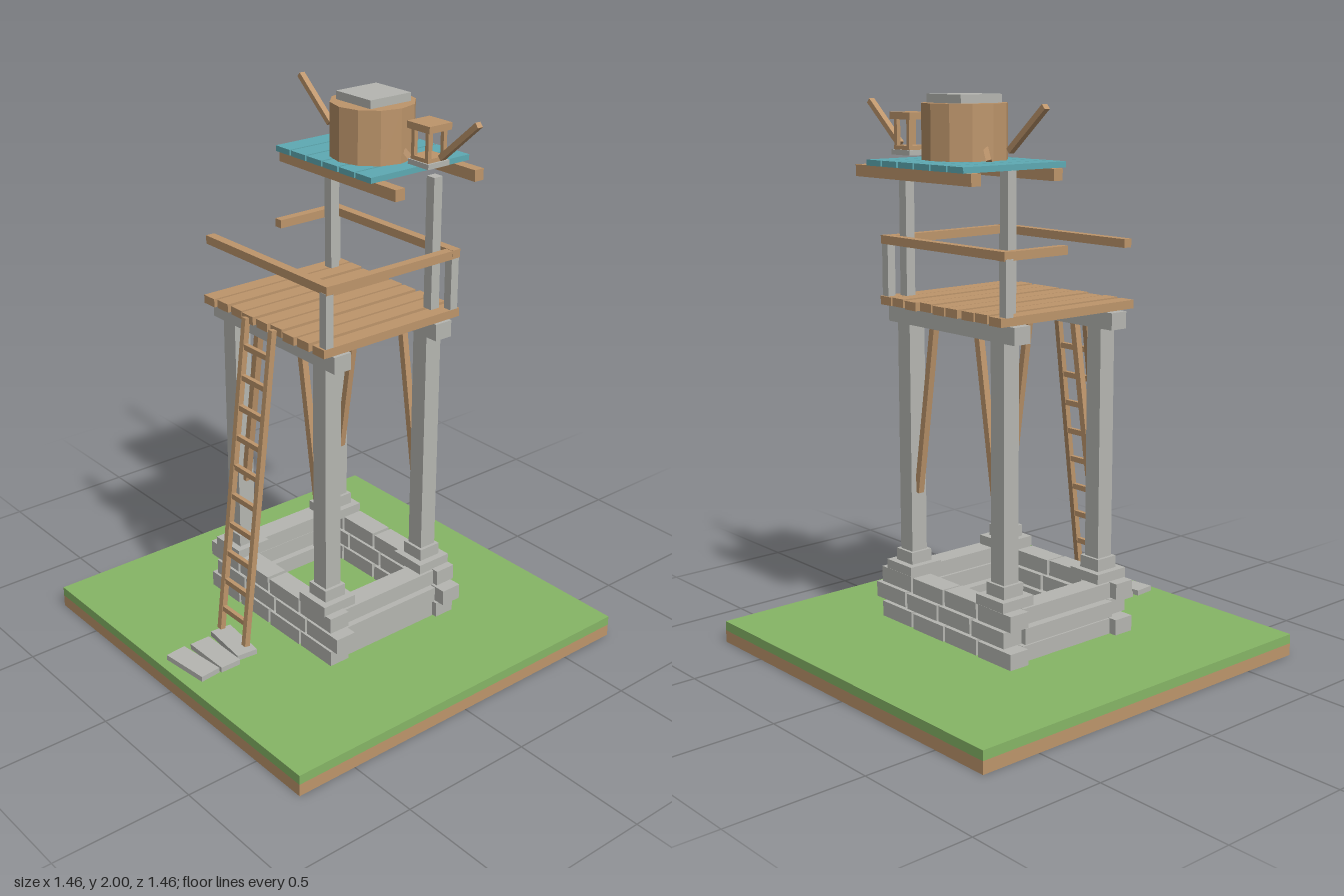
import * as THREE from 'three';

export function createModel() {
  const model = new THREE.Group();
  const mat = (name, color) => {
    const m = new THREE.MeshStandardMaterial({ color });
    m.name = name;
    return m;
  };
  const wood = mat('wood', 0xbd956b);
  const stone = mat('stone', 0xb5b6b1);
  const grass = mat('grass', 0x86b566);
  const teal = mat('teal', 0x5eaab3);

  // Box from size and centre
  const box = (name, material, w, h, d, x, y, z, ry = 0) => {
    const m = new THREE.Mesh(new THREE.BoxGeometry(w, h, d), material);
    m.name = name;
    m.position.set(x, y, z);
    m.rotation.y = ry;
    model.add(m);
    return m;
  };
  // Square bar running between two points
  const bar = (name, material, a, b, w, d = w) => {
    const p = new THREE.Vector3(...a), q = new THREE.Vector3(...b);
    const m = box(name, material, w, p.distanceTo(q), d, 0, 0, 0);
    m.position.copy(p).add(q).multiplyScalar(0.5);
    m.quaternion.setFromUnitVectors(new THREE.Vector3(0, 1, 0), q.sub(p).normalize());
    return m;
  };

  // Ground slab
  box('soil', wood, 1.46, 0.045, 1.46, 0, 0.0225, 0);
  box('grass', grass, 1.46, 0.035, 1.46, 0, 0.0625, 0);

  // Stepping stones in front of the ladder
  [[0, 0.455, -0.1], [0.018, 0.55, 0], [0.017, 0.645, 0.1]].forEach(([x, z, r]) =>
    box('steppingStone', stone, 0.19, 0.02, 0.08, x, 0.09, z, r));

  // Stone foundation: three staggered courses around an open middle
  [[0.128, -0.005], [0.195, 0.03], [0.262, -0.005]].forEach(([y, shift], row) => {
    for (const z of [0.25, -0.25]) {
      for (let i = 0; i < 4; i++) {
        box('foundationBlock', stone, 0.168, 0.057, 0.08, (i - 1.5) * 0.18 + shift, y + (i % 2) * 0.002, z);
      }
    }
    for (const s of [-1, 1]) {
      box('foundationSideBlock', stone, 0.08, 0.057, 0.416, s * (0.29 + (row === 1 ? 0.012 : 0)), y, 0);
    }
  });

  // Pillars with stepped footings, cross beams and diagonal braces
  for (const z of [0.225, -0.22]) {
    for (const s of [-1, 1]) {
      box('footing', stone, 0.14, 0.037, 0.138, s * 0.25, 0.308, z);
      box('footingCap', stone, 0.09, 0.045, 0.088, s * 0.25, 0.348, z);
      box('pillar', stone, 0.066, 0.84, 0.066, s * 0.25, 0.785, z);
      bar('brace', wood, [s * 0.12, 1.2, z], [s * 0.215, 0.59, z], 0.024);
    }
    box('crossBeam', stone, 0.67, 0.06, 0.07, -0.003, 1.232, z);
  }

  // Deck planks
  for (let i = 0; i < 9; i++) {
    box('deckPlank', wood, 0.06, 0.03, 0.61 - (i % 3) * 0.008, (i - 4) * 0.0742, 1.281 + (i % 2) * 0.002, 0.002);
  }

  // Railing: three posts remain and one side rail is broken short
  [[0.31, 0.275], [0.31, -0.27], [-0.315, -0.27]].forEach(([x, z]) =>
    box('railPost', stone, 0.032, 0.19, 0.032, x, 1.39, z));
  for (const z of [0.273, -0.273]) box('rail', wood, 0.655, 0.03, 0.034, 0, 1.495, z);
  box('sideRail', wood, 0.032, 0.03, 0.53, 0.311, 1.494, 0);
  box('brokenSideRail', wood, 0.032, 0.03, 0.28, -0.311, 1.494, -0.15);

  // Ladder leaning on the deck
  const ladderZ = (y) => 0.455 + (y - 0.115) / 1.175 * (0.312 - 0.455);
  for (const x of [-0.075, 0.072]) {
    bar('ladderRail', wood, [x, 0.115, ladderZ(0.115)], [x, 1.29, ladderZ(1.29)], 0.021);
  }
  for (let i = 0; i < 10; i++) {
    const y = 0.2 + i * 0.11;
    box('ladderRung', wood, 0.15, 0.02, 0.016, -0.001, y, ladderZ(y));
  }

  // Roof posts, beams and planks
  for (const s of [-1, 1]) box('roofPost', stone, 0.037, 0.465, 0.037, s * 0.267, 1.53, -0.22);
  for (const z of [-0.035, -0.388]) box('roofBeam', wood, 0.61, 0.04, 0.04, 0, 1.742, z);
  for (let i = 0; i < 6; i++) {
    box('roofPlank', teal, 0.077, 0.02, 0.44, -0.259 + i * 0.0855, 1.774, -0.214);
  }

  // Barrel with a square lid and small wedges
  const barrel = new THREE.Mesh(new THREE.CylinderGeometry(0.147, 0.147, 0.188, 12).toNonIndexed(), wood);
  barrel.geometry.computeVertexNormals();
  barrel.name = 'barrel';
  barrel.position.set(0, 1.877, -0.178);
  model.add(barrel);
  box('barrelLid', stone, 0.178, 0.03, 0.178, 0, 1.985, -0.18);
  for (const s of [-1, 1]) {
    bar('barrelWedge', wood, [s * 0.135, 1.825, -0.2], [s * 0.17, 1.785, -0.217], 0.018);
  }

  // Open lantern
  const lx = 0.227, lz = -0.228;
  box('lanternBase', stone, 0.1, 0.018, 0.095, lx, 1.8, lz);
  box('lanternCap', wood, 0.11, 0.024, 0.1, lx, 1.924, lz);
  box('lanternSill', wood, 0.084, 0.014, 0.084, lx, 1.816, lz);
  for (const i of [-1, 1]) {
    for (const j of [-1, 1]) {
      box('lanternPost', wood, 0.015, 0.1, 0.015, lx + i * 0.034, 1.863, lz + j * 0.034);
    }
  }

  // Slanted poles on either side
  for (const s of [-1, 1]) {
    bar('slantedPole', wood, [s * 0.287, 1.826, -0.23], [s * 0.454, 1.97, -0.23], 0.02, 0.022);
  }
  return model;
}
